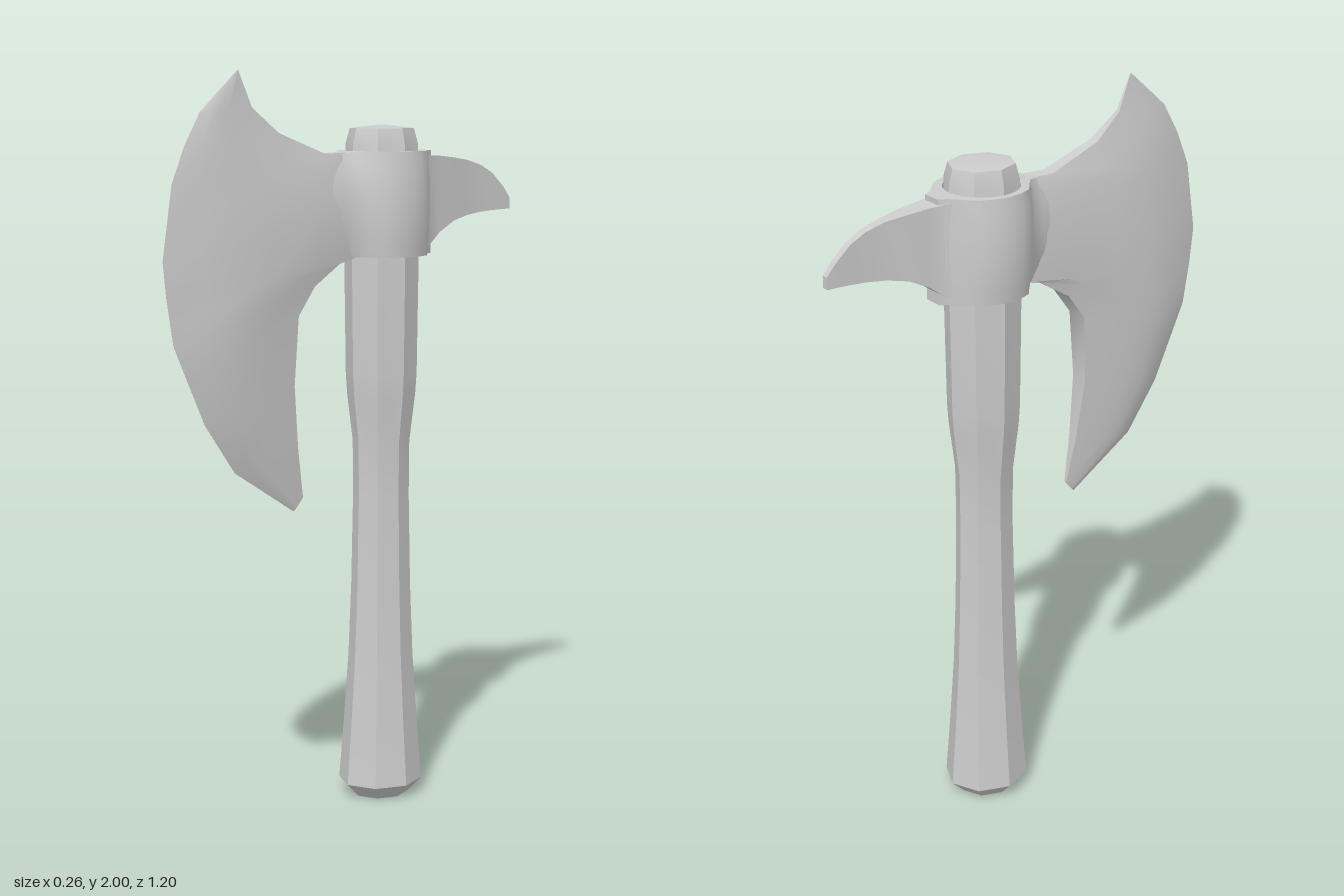
import * as THREE from 'three';
import { toCreasedNormals } from 'three/addons/utils/BufferGeometryUtils.js';

const AXIS_Z = -0.125; // handle axis

function addPart(group, name, geometry, crease = 0.6) {
  const material = new THREE.MeshStandardMaterial({ color: 0xcccccc });
  const mesh = new THREE.Mesh(toCreasedNormals(geometry, crease), material);
  mesh.name = name;
  group.add(mesh);
  return mesh;
}

// Joins equal-sized closed rings of [x, y, z] points and caps both ends
function loft(rings) {
  const n = rings[0].length;
  const index = [];
  for (let i = 0; i < rings.length - 1; i++) {
    for (let j = 0; j < n; j++) {
      const a = i * n + j, b = i * n + (j + 1) % n;
      index.push(a, b, b + n, a, b + n, a + n);
    }
  }
  const last = (rings.length - 1) * n;
  for (let k = 1; k < n - 1; k++) {
    index.push(0, k + 1, k, last, last + k, last + k + 1);
  }
  const geometry = new THREE.BufferGeometry();
  geometry.setAttribute('position', new THREE.Float32BufferAttribute(rings.flat(2), 3));
  geometry.setIndex(index);
  return geometry;
}

// Eight-sided handle, slightly narrower across x
function handleGeometry() {
  const profile = [
    [0, 0], [0.08, 0], [0.12, 0.04], [0.107, 0.2], [0.093, 0.4], [0.085, 0.6],
    [0.08, 0.85], [0.081, 1.0], [0.097, 1.13], [0.101, 1.19], [0.105, 1.5],
    [0.101, 1.81], [0.09, 1.85], [0, 1.86],
  ].map(([r, y]) => new THREE.Vector2(r, y));
  return new THREE.LatheGeometry(profile, 8).scale(0.92, 1, 1).translate(0, 0, AXIS_Z);
}

// Barrel-shaped socket around the handle, necking down to blade and spike
function collarGeometry() {
  const half = [
    [0.03, -0.28], [0.04, -0.26], [0.07, -0.235], [0.105, -0.205], [0.125, -0.165],
    [0.131, -0.125], [0.125, -0.085], [0.108, -0.05], [0.08, -0.022],
    [0.056, 0.005], [0.045, 0.04], [0.036, 0.08],
  ];
  const mirrored = half.map(([x, z]) => [-x, z]).reverse();
  const shape = new THREE.Shape([...half, ...mirrored].map(([x, z]) => new THREE.Vector2(x, z)));
  const hole = new THREE.Path();
  hole.absarc(0, AXIS_Z, 0.1, 0, Math.PI * 2, true);
  shape.holes.push(hole);
  const geometry = new THREE.ExtrudeGeometry(shape, {
    depth: 0.28, steps: 8, bevelEnabled: false, curveSegments: 16,
  });
  geometry.rotateX(Math.PI / 2).translate(0, 1.79, 0);
  const p = geometry.attributes.position;
  for (let i = 0; i < p.count; i++) {
    const z = p.getZ(i);
    const v = (p.getY(i) - 1.65) / 0.14;
    const pinch = 0.09 + 0.45 * THREE.MathUtils.smoothstep(z, -0.05, 0.04);
    const inHole = Math.hypot(p.getX(i), z - AXIS_Z) < 0.102;
    if (!inHole) p.setX(i, p.getX(i) * (1 - pinch * v * v));
    // The neck of the socket stays inside the blade outline
    if (z > 0) p.setY(i, 1.65 + v * (0.14 - 0.2 * z));
  }
  return geometry;
}

// Blade: sections from inner edge to cutting edge, top horn to lower beard
function bladeGeometry() {
  // inner z, inner y, outer z, outer y, rim half-width, body half-width
  const stations = [
    [0.359, 1.998, 0.361, 2.0, 0.001, 0.001],
    [0.32, 1.905, 0.48, 1.895, 0.006, 0.011],
    [0.24, 1.84, 0.53, 1.81, 0.015, 0.022],
    [0.09, 1.785, 0.57, 1.715, 0.02, 0.03],
    [-0.02, 1.788, 0.585, 1.62, 0.023, 0.038],
    [-0.02, 1.65, 0.6, 1.525, 0.04, 0.045],
    [-0.02, 1.512, 0.59, 1.43, 0.03, 0.048],
    [0.04, 1.5, 0.58, 1.37, 0.03, 0.048],
    [0.135, 1.44, 0.57, 1.31, 0.032, 0.047],
    [0.19, 1.365, 0.525, 1.21, 0.032, 0.043],
    [0.2, 1.18, 0.475, 1.1, 0.026, 0.034],
    [0.18, 1.01, 0.38, 0.965, 0.015, 0.02],
    [0.155, 0.875, 0.185, 0.84, 0.004, 0.004],
  ];
  // position across the blade, blend from rim to body, taper to the edge
  const columns = [[0, 0, 1], [0.25, 0.6, 1], [0.5, 1, 1], [0.68, 1, 0.95], [0.84, 1, 0.65], [1, 1, 0.01]];
  return loft(stations.map(([z0, y0, z1, y1, rim, body]) => {
    const side = columns.map(([t, blend, taper]) => [
      (rim + (body - rim) * blend) * taper, y0 + (y1 - y0) * t, z0 + (z1 - z0) * t,
    ]);
    return [...side, ...side.map(([x, y, z]) => [-x, y, z]).reverse()];
  }));
}

// Drooping back spike: z, bottom, top, half-width
function spikeGeometry() {
  const sections = [
    [-0.24, 1.512, 1.785, 0.055], [-0.265, 1.53, 1.776, 0.037], [-0.31, 1.565, 1.774, 0.031],
    [-0.37, 1.595, 1.768, 0.025], [-0.43, 1.608, 1.76, 0.015], [-0.485, 1.615, 1.745, 0.012],
    [-0.53, 1.618, 1.722, 0.011], [-0.575, 1.62, 1.682, 0.01], [-0.6, 1.62, 1.652, 0.009],
  ];
  return loft(sections.map(([z, bottom, top, w]) => [
    [-w, bottom, z], [-w, top, z], [w, top, z], [w, bottom, z],
  ]));
}

export function createModel() {
  const group = new THREE.Group();
  group.name = 'axe';
  addPart(group, 'handle', handleGeometry());
  addPart(group, 'collar', collarGeometry(), 0.8);
  addPart(group, 'blade', bladeGeometry());
  addPart(group, 'backSpike', spikeGeometry());
  return group;
}
